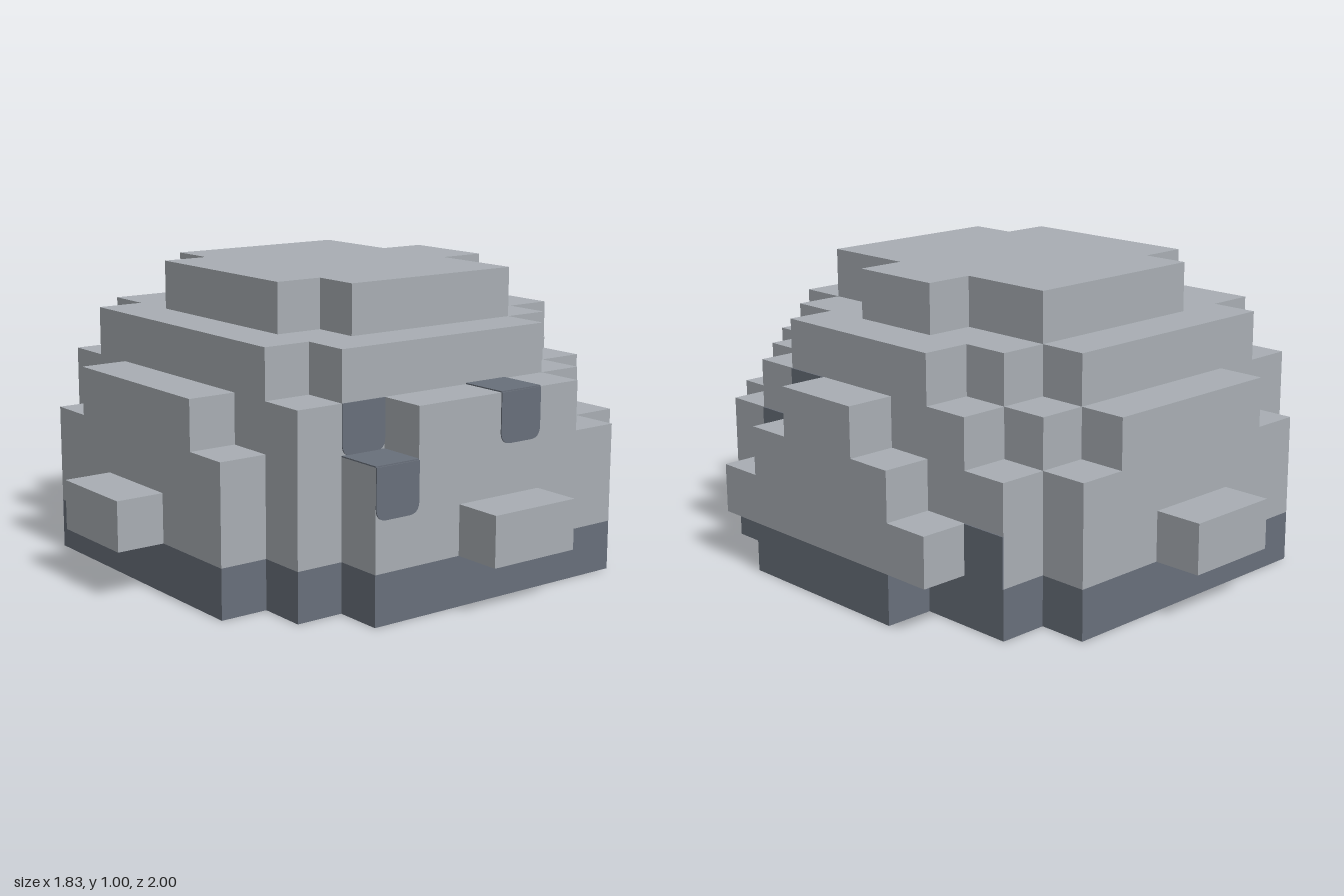
import * as THREE from 'three';

const U = 1 / 6;        // block size
const CX = U / 2;       // x offset that centres the model

// Stepped outline, mirrored in z. Each step is [z, xLeft, xRight] in blocks, from the outside in.
function outline(steps, path) {
  const right = [], left = [];
  steps.forEach(([z, l, r], i) => {
    if (i > 0) {
      right.push([steps[i - 1][2], z]);
      left.push([steps[i - 1][1], z]);
    }
    right.push([r, z]);
    left.push([l, z]);
  });
  const mirror = (side) => side.map(([x, z]) => [x, -z]);
  const points = [...left, ...mirror(left).reverse(), ...mirror(right), ...right.reverse()]
    .filter((p, i, all) => i === 0 || p[0] !== all[i - 1][0] || p[1] !== all[i - 1][1])
    .map(([x, z]) => new THREE.Vector2(x * U + CX, z * U));
  path.setFromPoints(points);
  return path;
}

export function createModel() {
  const group = new THREE.Group();
  const stone = new THREE.MeshStandardMaterial({ color: 0xa8adb3 });
  stone.name = 'light stone';
  const slate = new THREE.MeshStandardMaterial({ color: 0x686f7a });
  slate.name = 'dark slate';

  const add = (name, geometry, material) => {
    const mesh = new THREE.Mesh(geometry, material);
    mesh.name = name;
    group.add(mesh);
    return mesh;
  };

  // Hollow inside: wide at the bottom, with corner blocks higher up
  const wide = [[3, -3, 1], [2, -3, 2]];
  const narrow = [[3, -2, 1], [2, -3, 2]];

  // Stacked layers from the ground up
  const layers = [
    ['base', [[5, -3, 3], [4, -4, 4], [3, -5, 4], [2, -5, 5]], wide],
    ['nubLayer', [[6, -1, 1], [5, -3, 3], [4, -4, 4], [3, -5, 5], [1, -6, 5]], wide],
    ['middleLayer', [[5, -3, 3], [4, -4, 4], [3, -5, 4], [2, -5, 5]], narrow],
    ['shoulderLayer', [[5, -2, 2], [4, -4, 3], [3, -4, 4], [2, -5, 4], [1, -5, 5]], narrow],
    ['upperLayer', [[4, -3, 2], [3, -4, 3], [2, -4, 4]], null],
    ['crown', [[3, -2, 2], [2, -3, 2], [1, -3, 3]], null],
  ];
  layers.forEach(([name, steps, cavity], level) => {
    const shape = outline(steps, new THREE.Shape());
    if (cavity) shape.holes.push(outline(cavity, new THREE.Path()));
    const geometry = new THREE.ExtrudeGeometry(shape, { depth: U, bevelEnabled: false });
    geometry.rotateX(-Math.PI / 2).translate(0, level * U, 0);
    add(name, geometry, level === 0 ? slate : stone);
  });

  // Eye plates on the front, with rounded lower corners: [x, y, z] in blocks
  const T = 0.004, R = 0.04;
  const eye = new THREE.Shape();
  eye.moveTo(0, U);
  eye.lineTo(0, R);
  eye.quadraticCurveTo(0, 0, R, 0);
  eye.lineTo(U - R, 0);
  eye.quadraticCurveTo(U, 0, U, R);
  eye.lineTo(U, U);
  const eyeGeometry = new THREE.ExtrudeGeometry(eye, { depth: T, bevelEnabled: false });
  [[-3, 2, 5], [-3, 3, 4], [0, 3, 5]].forEach(([x, y, z]) => {
    add('eyePlate', eyeGeometry, slate).position.set(x * U + CX, y * U, z * U);
  });

  // Dark tops of the eye blocks
  const topGeometry = new THREE.BoxGeometry(U, T, U);
  [[-3, 3], [0, 4]].forEach(([x, y]) => {
    add('eyeTop', topGeometry, slate).position.set((x + 0.5) * U + CX, y * U + T / 2, 4.5 * U);
  });

  // Dark patches on the left flank
  const patchGeometry = new THREE.BoxGeometry(T, U, U);
  [[3, 1], [2, 2], [1, -4]].forEach(([y, z]) => {
    add('sidePatch', patchGeometry, slate).position.set(4 * U + CX + T / 2, (y + 0.5) * U, (z + 0.5) * U);
  });

  return group;
}
